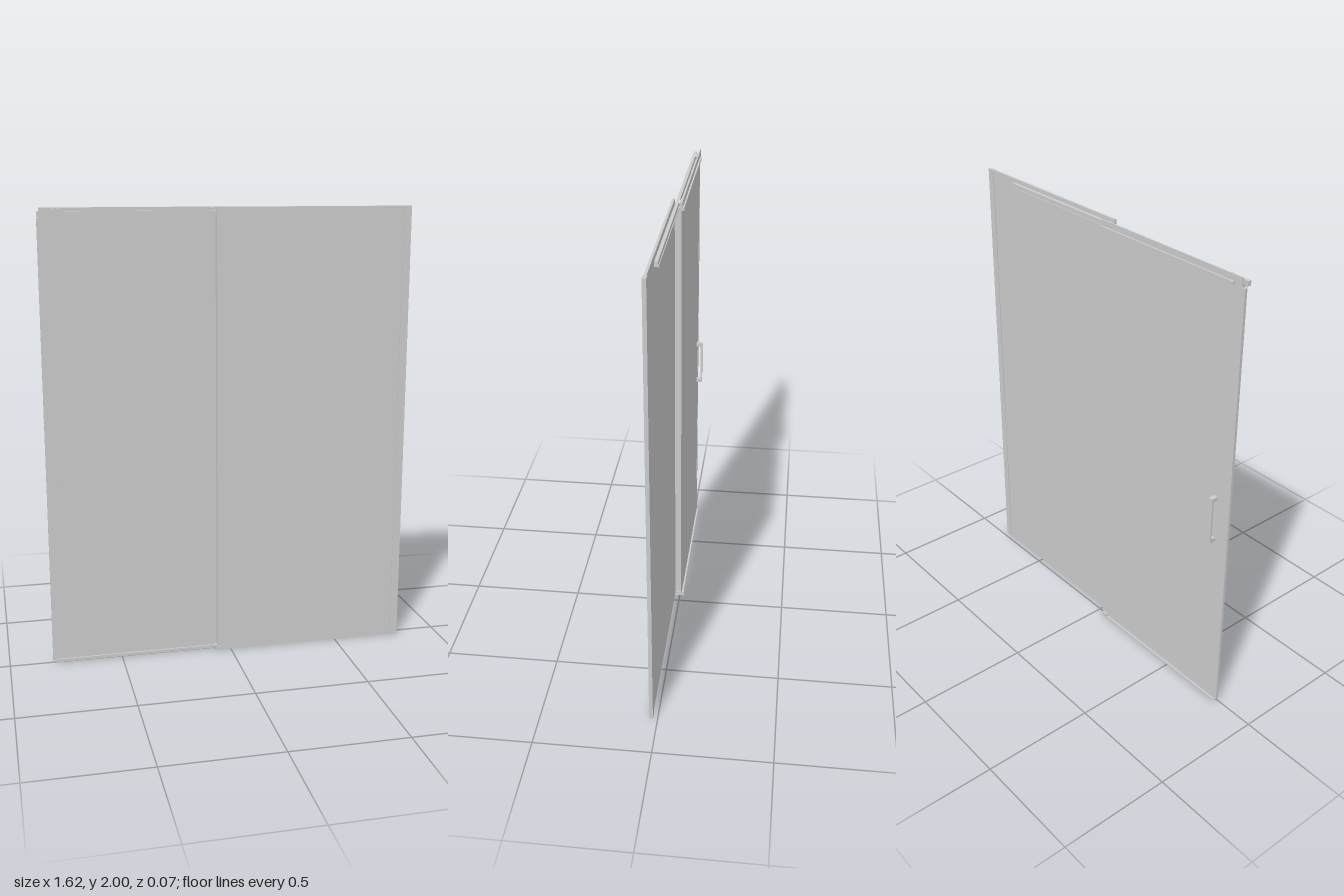
import * as THREE from 'three';

const material = new THREE.MeshStandardMaterial({ color: 0xcccccc, side: THREE.DoubleSide });

export function createModel() {
  const model = new THREE.Group();

  // Box given by its extents on each axis
  function bar(name, [x0, x1], [y0, y1], [z0, z1], parent = model) {
    const mesh = new THREE.Mesh(new THREE.BoxGeometry(x1 - x0, y1 - y0, z1 - z0), material);
    mesh.position.set((x0 + x1) / 2, (y0 + y1) / 2, (z0 + z1) / 2);
    mesh.name = name;
    parent.add(mesh);
    return mesh;
  }

  // Disc or pin with its axis along z
  function pin(name, x, y, z0, z1, radius, parent) {
    const geometry = new THREE.CylinderGeometry(radius, radius, z1 - z0, 24).rotateX(Math.PI / 2);
    const mesh = new THREE.Mesh(geometry, material);
    mesh.position.set(x, y, (z0 + z1) / 2);
    mesh.name = name;
    parent.add(mesh);
  }

  // Fixed panel with its wall channel
  bar('fixedPanel', [-0.06, 0.805], [0, 2], [0.023, 0.033]);
  for (const [z0, z1] of [[0.02, 0.023], [0.033, 0.036]])
    bar('wallChannelSide', [0.775, 0.81], [0, 2], [z0, z1]);
  bar('wallChannelBack', [0.805, 0.81], [0, 2], [0.023, 0.033]);

  // Sliding door panel and its edge seals
  bar('slidingPanel', [-0.8, -0.025], [0.015, 1.975], [-0.008, 0.001]);
  bar('closingSeal', [-0.81, -0.785], [0.01, 1.96], [-0.009, 0.003]);
  bar('overlapSeal', [-0.06, -0.045], [0.02, 1.955], [0.001, 0.022]);

  // Top rail: flat bar with small lips
  bar('topRail', [-0.81, 0.61], [1.965, 1.985], [0.006, 0.02]);
  bar('railLip', [-0.81, 0.61], [1.962, 1.968], [0.003, 0.006]);

  // Cover plate over the hangers
  bar('coverPlate', [-0.8, -0.02], [1.965, 2], [-0.013, -0.008]);
  bar('coverLip', [-0.76, -0.02], [1.962, 1.975], [-0.02, -0.008]);

  // Roller hangers that ride on the rail
  for (const x of [-0.735, -0.055]) {
    const hanger = new THREE.Group();
    hanger.name = 'rollerHanger';
    bar('hangerPlate', [x - 0.025, x + 0.025], [1.955, 1.995], [-0.008, -0.001], hanger);
    pin('roller', x, 1.985, -0.001, 0.005, 0.012, hanger);
    pin('rollerAxle', x, 1.985, -0.016, 0.012, 0.004, hanger);
    model.add(hanger);
  }

  // Bottom strip under the door and floor guide at the overlap
  bar('bottomStrip', [-0.8, -0.06], [0, 0.014], [-0.008, 0.006]);
  bar('bottomStripLip', [-0.8, -0.06], [0, 0.006], [-0.016, -0.008]);
  bar('floorGuideBase', [-0.07, -0.04], [0, 0.008], [-0.02, 0.036]);
  for (const [z0, z1] of [[-0.02, -0.01], [0.003, 0.021], [0.033, 0.036]])
    bar('floorGuideJaw', [-0.07, -0.04], [0.008, 0.02], [z0, z1]);

  // Pull handle with two posts through the door
  const handle = new THREE.Group();
  handle.name = 'handle';
  bar('handleGrip', [-0.742, -0.722], [0.83, 1.045], [-0.036, -0.028], handle);
  for (const y of [0.83, 1.027]) {
    bar('handlePost', [-0.742, -0.722], [y, y + 0.018], [-0.028, -0.008], handle);
    pin('handleScrew', -0.732, y + 0.009, 0.001, 0.005, 0.008, handle);
  }
  model.add(handle);

  return model;
}
